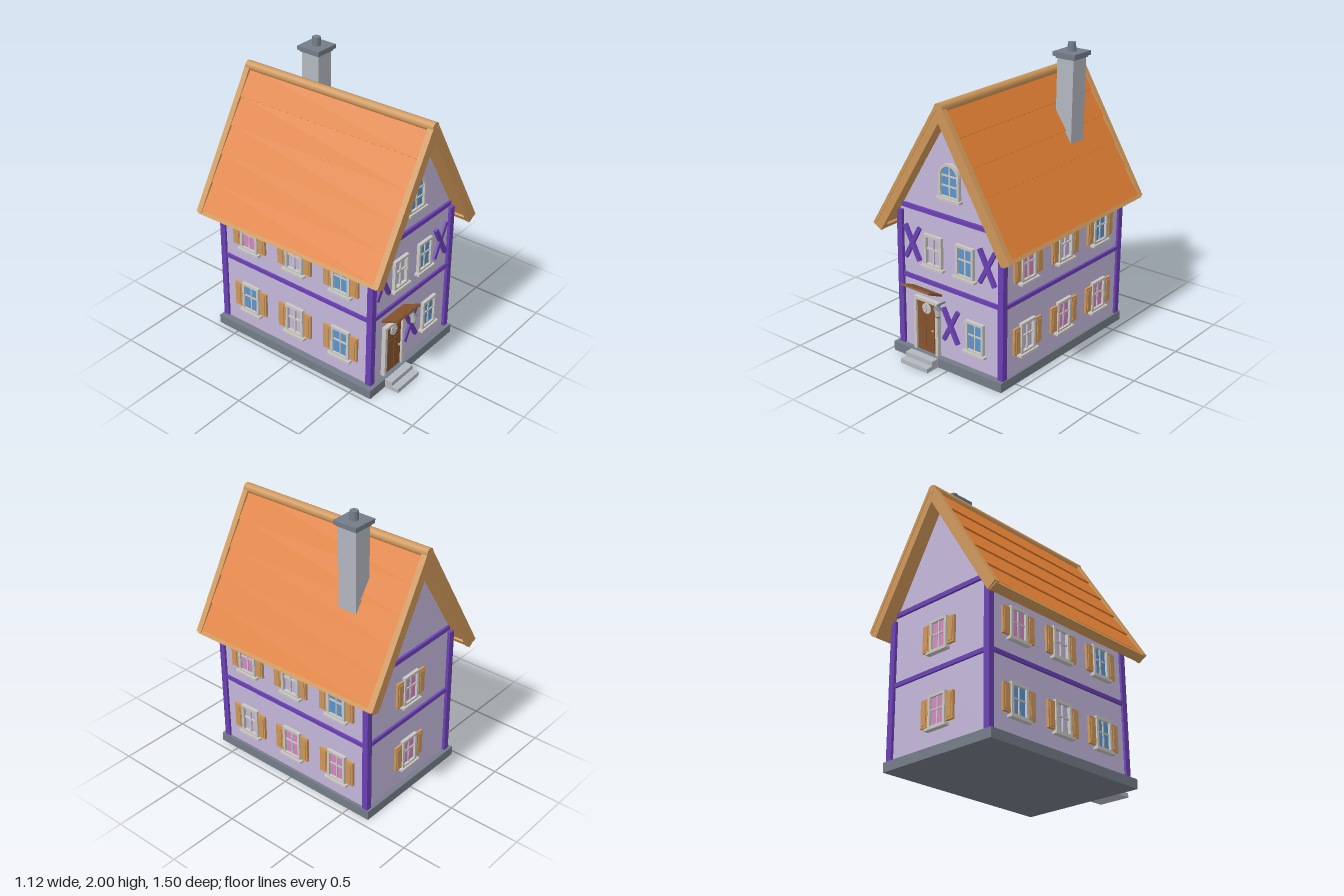
import * as THREE from 'three';

const mat = (name, color) => {
  const m = new THREE.MeshStandardMaterial({ color });
  m.name = name;
  return m;
};
const M = {
  wall: mat('lilac plaster', 0xc3b7da),
  timber: mat('purple timber', 0x6b40b4),
  roof: mat('orange roof boards', 0xdd7d32),
  tan: mat('tan wood', 0xcd9658),
  slate: mat('slate grey', 0x747c87),
  stone: mat('pale stone', 0xb2b6bf),
  trim: mat('off-white trim', 0xcac7c3),
  glass: mat('blue glass', 0x5a95cc),
  pink: mat('pink curtain', 0xd587c4),
  brown: mat('brown wood', 0x85532d),
};

function add(parent, name, geometry, material, x = 0, y = 0, z = 0) {
  const mesh = new THREE.Mesh(geometry, material);
  mesh.name = name;
  mesh.position.set(x, y, z);
  parent.add(mesh);
  return mesh;
}

// box given by centre and size
const box = (parent, name, material, x, y, z, w, h, d) =>
  add(parent, name, new THREE.BoxGeometry(w, h, d), material, x, y, z);

function group(parent, name, x = 0, y = 0, z = 0, ry = 0) {
  const g = new THREE.Group();
  g.name = name;
  g.position.set(x, y, z);
  g.rotation.y = ry;
  parent.add(g);
  return g;
}

// window facing local +z, its back on the wall; pane may be null
function addWindow(parent, x, y, z, ry, pane, shutters) {
  const g = group(parent, 'window', x, y, z, ry);
  const w = 0.145, h = 0.215, t = 0.018;
  if (pane) box(g, 'pane', pane, 0, 0, 0.004, w - t, h - t, 0.006);
  for (const s of [-1, 1]) {
    box(g, 'frameSide', M.trim, s * (w - t) / 2, 0, 0.01, t, h, 0.026);
    box(g, 'frameRail', M.trim, 0, s * (h - t) / 2, 0.01, w, t, 0.026);
    if (shutters) {
      box(g, 'shutter', M.tan, s * 0.108, 0, 0.008, 0.058, 0.18, 0.02);
      box(g, 'shutterPanel', M.tan, s * 0.108, 0, 0.019, 0.036, 0.15, 0.008);
    }
  }
  box(g, 'mullion', M.trim, 0, 0, 0.008, 0.01, h, 0.012);
  box(g, 'crossbar', M.trim, 0, 0.01, 0.008, w, 0.01, 0.012);
  box(g, 'sill', M.trim, 0, -h / 2 - 0.004, 0.016, w + 0.035, 0.016, 0.04);
}

// outline of an arched opening
function archShape(r, bottom) {
  const s = new THREE.Shape();
  s.moveTo(-r, bottom);
  s.lineTo(r, bottom);
  s.lineTo(r, 0);
  s.absarc(0, 0, r, 0, Math.PI, false);
  s.closePath();
  return s;
}

const extrude = (shape, depth) =>
  new THREE.ExtrudeGeometry(shape, { depth, bevelEnabled: false, curveSegments: 10 });

export function createModel() {
  const model = new THREE.Group();
  model.name = 'house';
  const F = 0.6, B = -0.63, X = 0.42, ZC = (F + B) / 2;

  // plinth and doorstep
  box(model, 'plinth', M.slate, -0.012, 0.032, -0.01, 0.91, 0.064, 1.31);
  box(model, 'lowerStep', M.stone, -0.195, 0.016, 0.675, 0.23, 0.03, 0.15);
  box(model, 'upperStep', M.stone, -0.195, 0.045, 0.645, 0.23, 0.034, 0.11);

  // the house body leans very slightly
  const body = group(model, 'body');
  body.rotation.z = -0.011;
  const outline = new THREE.Shape([[-X, 0.06], [X, 0.06], [X, 1.02], [0.01, 1.71], [-X, 1.02]]
    .map(([x, y]) => new THREE.Vector2(x, y)));
  add(body, 'walls', extrude(outline, F - B), M.wall, 0, 0, B);

  // timber framing
  for (const sx of [-1, 1]) {
    for (const z of [F, B]) box(body, 'cornerPost', M.timber, sx * 0.415, 0.535, z, 0.042, 0.94, 0.042);
    box(body, 'sideBeam', M.timber, sx * X, 0.562, ZC, 0.03, 0.026, F - B);
  }
  for (const z of [F, B]) {
    box(body, 'floorBeam', M.timber, 0, 0.562, z, 0.82, 0.028, 0.03);
    box(body, 'gableBeam', M.timber, 0, 1.045, z, 0.79, 0.03, 0.034);
  }
  for (const [x, y] of [[-0.313, 0.8], [0.302, 0.8], [0.002, 0.31]]) {
    const g = group(body, 'crossBrace', x, y, F + 0.008);
    for (const s of [-1, 1]) box(g, 'brace', M.timber, 0, 0, s * 0.002, 0.028, 0.255, 0.024).rotation.z = s * 0.49;
  }

  // windows
  addWindow(body, 0.203, 0.293, F, 0, M.glass, false);
  addWindow(body, -0.135, 0.785, F, 0, null, false);
  addWindow(body, 0.125, 0.785, F, 0, M.glass, false);
  for (const y of [0.293, 0.785]) addWindow(body, 0, y, B, Math.PI, M.pink, true);
  const rows = [
    { x: X, ry: Math.PI / 2, y: 0.785, panes: [M.pink, null, M.glass] },
    { x: X, ry: Math.PI / 2, y: 0.293, panes: [null, M.pink, M.pink] },
    { x: -X, ry: -Math.PI / 2, y: 0.785, panes: [M.glass, null, M.pink] },
    { x: -X, ry: -Math.PI / 2, y: 0.293, panes: [M.glass, null, M.glass] },
  ];
  for (const r of rows)
    [0.37, -0.01, -0.395].forEach((z, i) => addWindow(body, r.x, r.y, z, r.ry, r.panes[i], true));

  // arched attic window
  const attic = group(body, 'atticWindow', 0.006, 1.318, F);
  const ring = archShape(0.083, -0.145);
  ring.holes.push(archShape(0.065, -0.13));
  add(attic, 'archFrame', extrude(ring, 0.024), M.trim);
  add(attic, 'archPane', extrude(archShape(0.07, -0.135), 0.007), M.glass);
  box(attic, 'mullion', M.trim, 0, -0.035, 0.008, 0.01, 0.22, 0.012);
  for (const y of [0, -0.065]) box(attic, 'crossbar', M.trim, 0, y, 0.008, 0.14, 0.01, 0.012);
  box(attic, 'sill', M.trim, 0, -0.15, 0.016, 0.19, 0.016, 0.04);

  // front door
  const door = group(body, 'frontDoor', -0.195, 0, F);
  box(door, 'doorLeaf', M.brown, 0, 0.245, 0.006, 0.165, 0.36, 0.02);
  for (const s of [-1, 1]) {
    box(door, 'doorJamb', M.trim, s * 0.092, 0.25, 0.014, 0.022, 0.37, 0.034);
    box(door, 'doorPanel', M.brown, s * 0.037, 0.2, 0.016, 0.055, 0.22, 0.008);
  }
  box(door, 'doorHead', M.trim, 0, 0.432, 0.014, 0.206, 0.02, 0.034);
  add(door, 'roundWindow', new THREE.CylinderGeometry(0.036, 0.036, 0.008, 16), M.trim, 0, 0.375, 0.019)
    .rotation.x = Math.PI / 2;
  for (const w of [0.008, 0.06])
    box(door, 'roundWindowBar', M.stone, 0, 0.375, 0.024, w, 0.068 - w, 0.006);
  add(door, 'doorKnob', new THREE.SphereGeometry(0.009, 8, 6), M.tan, 0.055, 0.23, 0.025);
  const canopy = box(body, 'canopy', M.brown, -0.193, 0.525, 0.667, 0.24, 0.014, 0.135);
  canopy.rotation.x = -0.43;

  // wall lantern
  const lantern = group(body, 'lantern', -0.055, 0.375, 0.668);
  add(lantern, 'lanternGlass', new THREE.CylinderGeometry(0.022, 0.016, 0.05, 6), M.trim, 0, 0.032, 0);
  add(lantern, 'lanternBase', new THREE.CylinderGeometry(0.02, 0.016, 0.008, 6), M.slate, 0, 0.005, 0);
  add(lantern, 'lanternHood', new THREE.CylinderGeometry(0.008, 0.031, 0.022, 6), M.slate, 0, 0.068, 0);
  box(lantern, 'lanternArm', M.slate, 0, 0.082, -0.033, 0.009, 0.009, 0.075);

  // roof, turned a touch from the walls
  const roof = group(model, 'roof', 0.02, 1.755, -0.012, 0.019);
  for (const s of [-1, 1]) {
    const run = s > 0 ? 0.503 : 0.537;
    const side = group(roof, 'roofSide');
    side.rotation.z = -s * Math.atan2(0.86, run);
    const L = Math.hypot(run, 0.86) - 0.01;
    box(side, 'underRoof', M.tan, s * L / 2, -0.008, 0, L, 0.02, 1.4);
    // overlapping boards with their lower edges raised
    const n = 5, step = (L - 0.02) / n;
    for (let i = 0; i < n; i++) {
      box(side, 'roofBoard', M.roof, s * (i + 0.5) * step, 0.014, 0, step + 0.008, 0.02, 1.405)
        .rotation.z = s * 0.06;
    }
    for (const e of [-1, 1]) {
      box(side, 'bargeBoard', M.tan, s * L / 2, -0.006, e * 0.714, L, 0.066, 0.03);
      box(side, 'bargeTrim', M.tan, s * L / 2, 0.024, e * 0.712, L, 0.022, 0.04);
    }
    box(side, 'eaveBeam', M.tan, s * (L - 0.008), -0.002, 0, 0.034, 0.06, 1.44);
  }
  add(roof, 'ridgeCap', new THREE.CylinderGeometry(0.034, 0.034, 1.46, 8).rotateX(Math.PI / 2), M.tan, 0, 0.014, 0);

  // chimney
  const chimney = group(model, 'chimney', 0.222, 0, -0.343);
  const stack = box(chimney, 'chimneyStack', M.stone, -0.004, 1.6, 0, 0.127, 0.64, 0.137);
  stack.rotation.z = -0.015;
  box(chimney, 'chimneyCap', M.slate, 0, 1.928, 0, 0.175, 0.028, 0.175);
  box(chimney, 'chimneyCollar', M.slate, 0, 1.91, 0, 0.145, 0.018, 0.152);
  add(chimney, 'chimneyPot', new THREE.CylinderGeometry(0.027, 0.03, 0.06, 10), M.slate, 0, 1.97, 0);
  return model;
}
